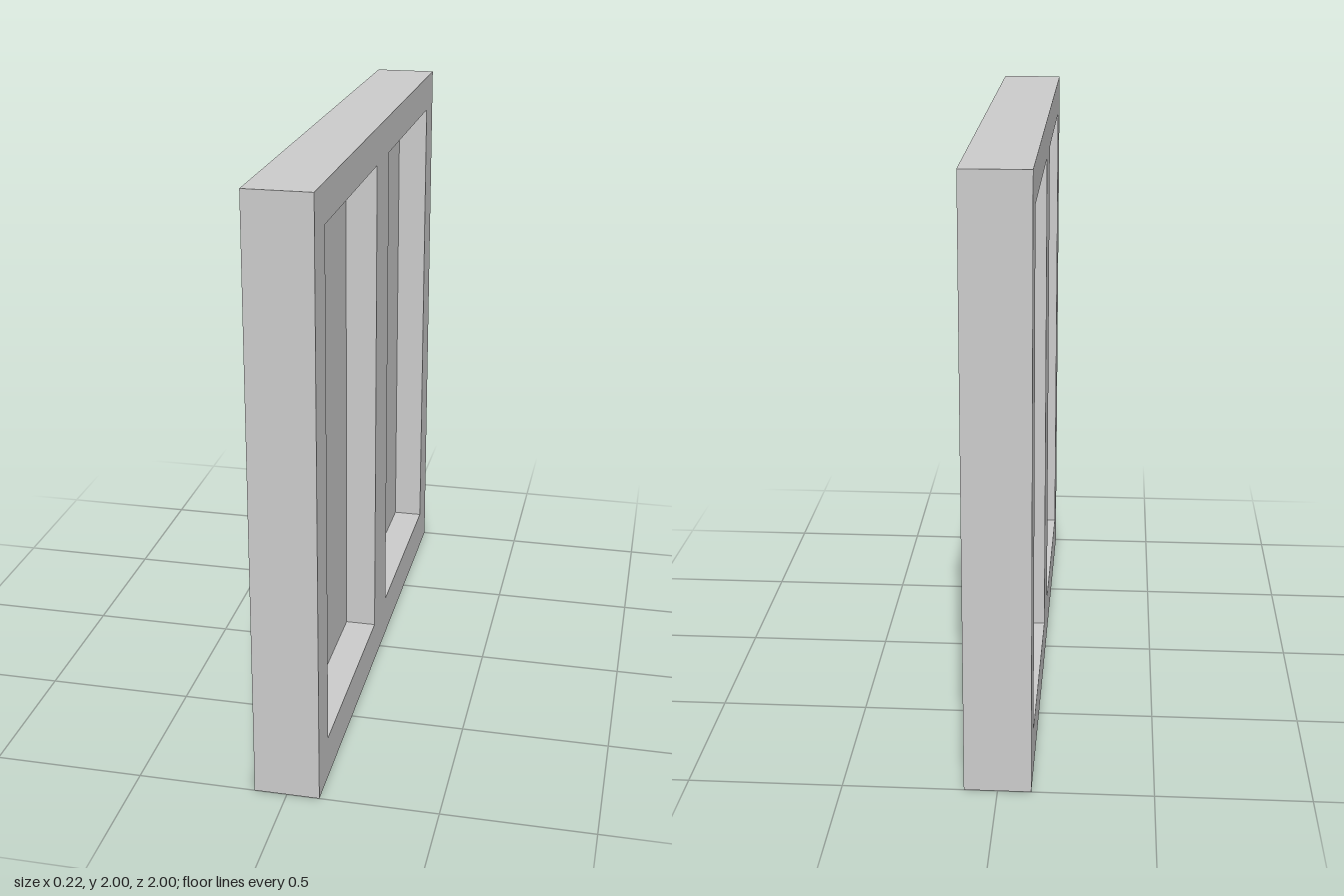
import * as THREE from 'three';

const THICKNESS = 0.216;
const SILL = 0.147, HEAD = 1.874;    // opening bottom and top
const INNER = 0.103, OUTER = 0.87;   // opening sides, from the centre

// Traces a closed rectangle on a Shape or Path
function rectangle(path, x0, y0, x1, y1) {
  path.moveTo(x0, y0);
  path.lineTo(x1, y0);
  path.lineTo(x1, y1);
  path.lineTo(x0, y1);
  path.closePath();
  return path;
}

export function createModel() {
  const model = new THREE.Group();
  model.name = 'window';
  const grey = new THREE.MeshStandardMaterial({ color: 0xcccccc });
  grey.name = 'light grey';

  // Frame: one slab with two tall openings
  const outline = rectangle(new THREE.Shape(), -1, 0, 1, 2);
  outline.holes.push(
    rectangle(new THREE.Path(), -OUTER, SILL, -INNER, HEAD),
    rectangle(new THREE.Path(), INNER, SILL, OUTER, HEAD),
  );
  const frameGeometry = new THREE.ExtrudeGeometry(outline, { depth: THICKNESS, bevelEnabled: false });
  frameGeometry.translate(0, 0, -THICKNESS / 2);
  frameGeometry.rotateY(Math.PI / 2);
  const frame = new THREE.Mesh(frameGeometry, grey);
  frame.name = 'frame';
  model.add(frame);

  // Panes: thin sheets midway through each opening
  for (const side of [1, -1]) {
    const pane = new THREE.Mesh(new THREE.BoxGeometry(0.004, HEAD - SILL, OUTER - INNER), grey);
    pane.position.set(0, (SILL + HEAD) / 2, side * (INNER + OUTER) / 2);
    pane.name = side > 0 ? 'frontPane' : 'backPane';
    model.add(pane);
  }

  return model;
}
